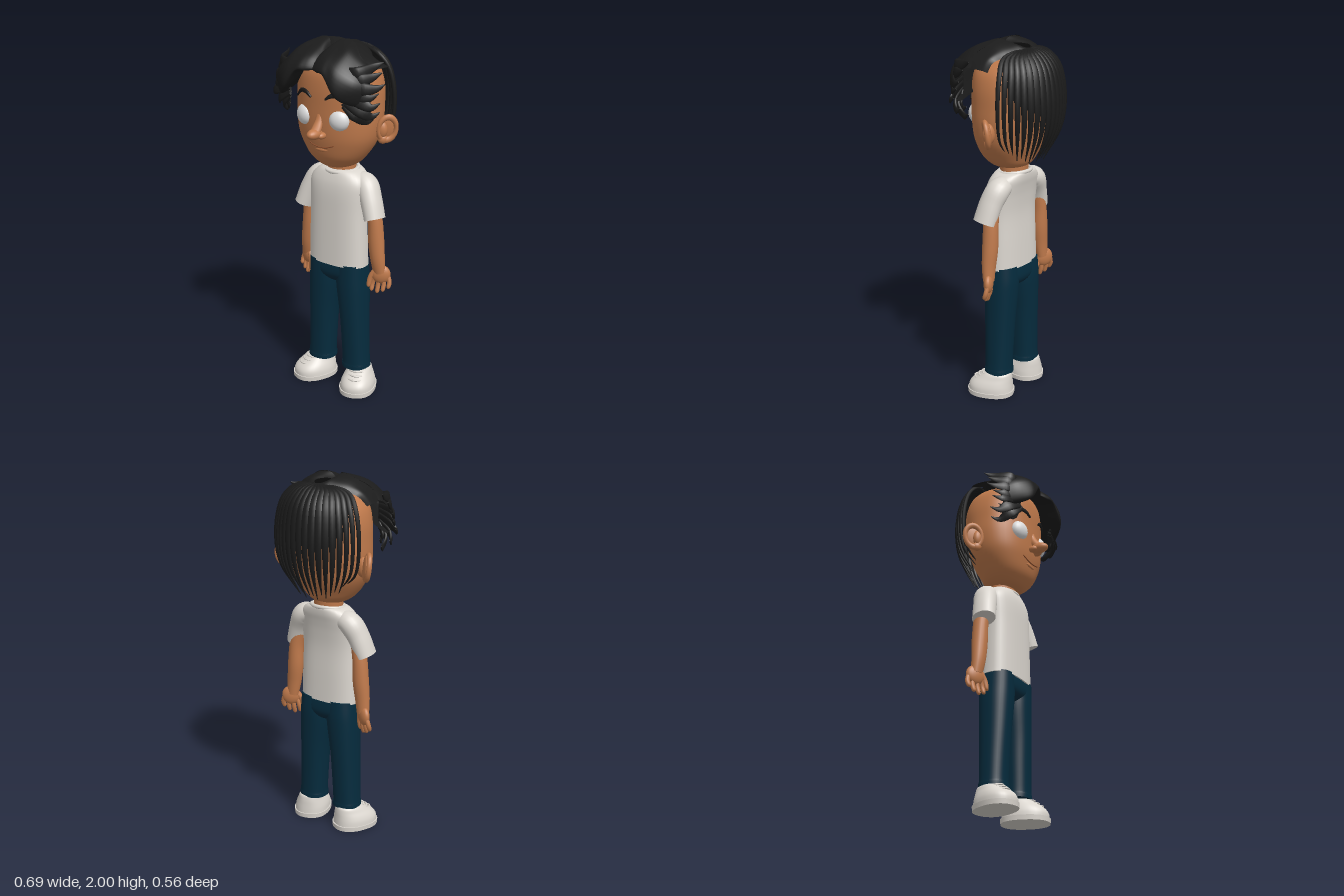
import * as THREE from 'three';

const mat = (name, color, side = THREE.FrontSide) => {
  const m = new THREE.MeshStandardMaterial({ color, side });
  m.name = name;
  return m;
};
const SKIN = mat('skin', 0xc07a4c);
const HAIR = mat('black hair', 0x1b1b1b, THREE.DoubleSide);
const CLOTH = mat('white cloth', 0xdad5ce, THREE.DoubleSide);
const DENIM = mat('blue denim', 0x052b3d);
const EYE = mat('eye white', 0xdedede);
const LIP = mat('lip brown', 0x8a4d2c);
const V = (x, y, z) => new THREE.Vector3(x, y, z);

// Catmull-Rom through rows of plain numbers, k steps per span
function smooth(rows, k) {
  const out = [], at = i => rows[Math.max(0, Math.min(rows.length - 1, i))];
  for (let i = 0; i < rows.length - 1; i++) {
    for (let s = 0; s < k; s++) {
      const t = s / k, p = [-1, 0, 1, 2].map(d => at(i + d));
      out.push(rows[i].map((_, c) => {
        const [a, b, d, e] = p.map(r => r[c]);
        return 0.5 * (2 * b + (d - a) * t + (2 * a - 5 * b + 4 * d - e) * t * t + (3 * b - a - 3 * d + e) * t ** 3);
      }));
    }
  }
  out.push(rows.at(-1));
  return out;
}

// Skin over a list of point rings; closed rings also get end caps
function skin(rings, closed = true) {
  const n = rings[0].length, pos = rings.flat().flatMap(p => [p.x, p.y, p.z]), idx = [];
  for (let r = 0; r < rings.length - 1; r++) {
    for (let i = 0; i < (closed ? n : n - 1); i++) {
      const a = r * n + i, b = r * n + (i + 1) % n;
      idx.push(a, a + n, b, b, a + n, b + n);
    }
  }
  if (closed) for (const [ring, top] of [[rings[0], false], [rings.at(-1), true]]) {
    const c = pos.length / 3, mid = ring.reduce((s, p) => s.add(p), V(0, 0, 0)).divideScalar(n);
    for (const p of [mid, ...ring]) pos.push(p.x, p.y, p.z);
    for (let i = 0; i < n; i++) {
      const a = c + 1 + i, b = c + 1 + (i + 1) % n;
      idx.push(c, top ? b : a, top ? a : b);
    }
  }
  const g = new THREE.BufferGeometry();
  g.setAttribute('position', new THREE.Float32BufferAttribute(pos, 3));
  g.setIndex(idx);
  g.computeVertexNormals();
  return g;
}

// Horizontal superellipse rings from rows [y, centreX, halfWidth, zFront, zBack]
const stack = (rows, e = 2, k = 4, n = 36) => skin(smooth(rows, k).map(([y, cx, rx, zf, zb]) =>
  Array.from({ length: n }, (_, i) => {
    const t = i / n * Math.PI * 2, f = v => Math.sign(v) * Math.abs(v) ** (2 / e);
    return V(cx + rx * f(Math.cos(t)), y, (zf + zb) / 2 + (zf - zb) / 2 * f(Math.sin(t)));
  })));

// Elliptical sweep along rows [x, y, z, halfWidth, halfThickness]; ref is the thickness direction
function sweep(rows, ref, k = 5, n = 10) {
  const pts = smooth(rows, k), P = pts.map(p => V(p[0], p[1], p[2]));
  return skin(pts.map((p, i) => {
    const T = P[Math.min(i + 1, P.length - 1)].clone().sub(P[Math.max(i - 1, 0)]).normalize();
    const side = T.clone().cross(ref).normalize(), up = side.clone().cross(T);
    return Array.from({ length: n }, (_, j) => {
      const t = j / n * Math.PI * 2;
      return P[i].clone().addScaledVector(side, Math.cos(t) * p[3]).addScaledVector(up, Math.sin(t) * p[4]);
    });
  }));
}

// Smooth sheet through a coarse net of points
function sheet(cols, k = 6) {
  const flat = smooth(cols.map(c => smooth(c, k).flat()), k);
  return skin(flat.map(r => Array.from({ length: r.length / 3 }, (_, i) => V(r[3 * i], r[3 * i + 1], r[3 * i + 2]))), false);
}

const ball = (x, y, z, rx, ry, rz) => new THREE.SphereGeometry(1, 24, 16).scale(rx, ry, rz).translate(x, y, z);

function mirrored(geo) {
  const g = geo.clone().scale(-1, 1, 1), a = g.index.array;
  for (let i = 0; i < a.length; i += 3) [a[i], a[i + 1]] = [a[i + 1], a[i]];
  return g;
}

// Head rows, also used to lay features on the face
const HEAD = [[1.305, 0, 0.03, 0.05, -0.03], [1.315, 0, 0.085, 0.09, -0.08], [1.34, 0, 0.128, 0.12, -0.11],
  [1.38, 0, 0.166, 0.148, -0.13], [1.44, 0, 0.206, 0.166, -0.16], [1.5, 0, 0.23, 0.178, -0.18],
  [1.58, 0, 0.242, 0.184, -0.2], [1.66, 0, 0.242, 0.186, -0.21], [1.75, 0, 0.238, 0.188, -0.215],
  [1.83, 0, 0.218, 0.18, -0.2], [1.88, 0, 0.178, 0.152, -0.175], [1.915, 0, 0.125, 0.11, -0.145],
  [1.933, 0, 0.065, 0.06, -0.1], [1.937, 0, 0.01, 0, -0.03]];
const E = 2.15;
function faceZ(x, y) {
  const i = HEAD.findIndex(r => r[0] > y), a = HEAD[i - 1], b = HEAD[i], t = (y - a[0]) / (b[0] - a[0]);
  const [rx, f, k] = [2, 3, 4].map(c => a[c] + (b[c] - a[c]) * t);
  return (f + k) / 2 + (f - k) / 2 * (1 - Math.abs(x / rx) ** E) ** (1 / E);
}

export function createModel() {
  const root = new THREE.Group();
  const add = (name, geo, m) => {
    const mesh = new THREE.Mesh(geo, m);
    mesh.name = name;
    root.add(mesh);
  };
  const pair = (name, geo, m) => {
    add(name + 'Left', geo, m);
    add(name + 'Right', mirrored(geo), m);
  };
  const front = V(0, 0, 1);

  // Head, neck and face
  add('head', stack(HEAD, E, 4, 48), SKIN);
  add('neck', stack([[1.22, 0, 0.08, 0.05, -0.085], [1.36, 0, 0.085, 0.06, -0.095]]), SKIN);
  add('noseBridge', sweep([[0, 1.64, 0.168, 0.016, 0.012], [0, 1.59, 0.18, 0.022, 0.018], [0, 1.555, 0.196, 0.028, 0.024],
    [0, 1.53, 0.216, 0.029, 0.026]], front), SKIN);
  add('noseTip', ball(0, 1.524, 0.218, 0.033, 0.029, 0.055), SKIN);
  pair('nostril', ball(0.027, 1.513, 0.19, 0.019, 0.018, 0.03), SKIN);
  pair('eye', ball(0, 0, 0, 0.056, 0.056, 0.04).rotateY(0.3).translate(0.111, 1.6, 0.152), EYE);
  pair('eyebrow', sweep([[0.046, 1.708, 0.005], [0.08, 1.73, 0.012], [0.125, 1.73, 0.011], [0.175, 1.688, 0.003]]
    .map(([x, y, w]) => [x, y, faceZ(x, y) + 0.003, w, 0.007]), front), HAIR);
  add('mouth', sweep([-0.08, -0.04, 0, 0.04, 0.08].map(x => {
    const y = 1.44 + 2.8 * x * x;
    return [x, y, faceZ(x, y), 0.003, 0.004];
  }), front), LIP);
  add('lowerLip', ball(0, 1.425, 0.156, 0.045, 0.012, 0.01), SKIN);

  // Ears: rim, bowl and lobe, turned to the front and leaning out at the top
  const ear = g => g.rotateY(0.8).rotateZ(-0.15).translate(0.276, 1.54, -0.045);
  pair('earRim', ear(new THREE.TorusGeometry(0.047, 0.013, 10, 28).scale(1, 1.35, 1.1)), SKIN);
  pair('earBowl', ear(ball(0, 0, -0.012, 0.05, 0.066, 0.014)), SKIN);
  pair('earLobe', ear(ball(-0.015, -0.062, 0, 0.026, 0.024, 0.016)), SKIN);
  pair('earBase', ball(0.24, 1.535, -0.035, 0.04, 0.055, 0.03), SKIN);

  // Parted crown hair and swept fringe
  pair('crownHair', sheet([
    [[0.002, 1.945, 0.075], [0.022, 1.968, 0.0], [0.036, 1.968, -0.08], [0.004, 1.952, -0.13]],
    [[0.028, 1.988, 0.05], [0.045, 1.986, -0.01], [0.055, 1.976, -0.08], [0.03, 1.95, -0.133]],
    [[0.065, 1.998, 0.035], [0.075, 1.988, -0.02], [0.08, 1.968, -0.08], [0.065, 1.94, -0.13]],
    [[0.13, 1.978, 0.04], [0.14, 1.966, -0.01], [0.145, 1.95, -0.05], [0.14, 1.925, -0.085]],
    [[0.2, 1.925, 0.09], [0.205, 1.922, 0.03], [0.21, 1.915, -0.01], [0.2, 1.9, -0.035]],
    [[0.27, 1.87, 0.055], [0.28, 1.872, 0.02], [0.285, 1.87, -0.03], [0.28, 1.862, -0.06]]]), HAIR);
  pair('fringe', sheet([
    [[0, 1.94, 0.07], [0, 1.945, 0.14], [0, 1.912, 0.2], [0, 1.865, 0.232], [0, 1.87, 0.15]],
    [[0.028, 1.99, 0.048], [0.032, 1.975, 0.11], [0.036, 1.92, 0.215], [0.04, 1.86, 0.25], [0.04, 1.87, 0.15]],
    [[0.07, 2.0, 0.03], [0.08, 1.98, 0.1], [0.085, 1.92, 0.222], [0.09, 1.852, 0.265], [0.085, 1.87, 0.15]],
    [[0.13, 1.98, 0.036], [0.15, 1.955, 0.14], [0.155, 1.87, 0.252], [0.16, 1.755, 0.268], [0.14, 1.8, 0.15]],
    [[0.2, 1.93, 0.086], [0.22, 1.9, 0.14], [0.24, 1.82, 0.218], [0.22, 1.71, 0.215], [0.19, 1.75, 0.11]],
    [[0.26, 1.875, 0.06], [0.277, 1.855, 0.1], [0.29, 1.78, 0.15], [0.272, 1.69, 0.14], [0.225, 1.74, 0.08]]]), HAIR);
  // Pointed locks that carry the fringe on to the sides
  for (const [x, y, z] of [[0.305, 1.91, 0.04], [0.318, 1.865, 0.07], [0.342, 1.81, 0.08], [0.325, 1.765, 0.11],
    [0.338, 1.72, 0.115], [0.32, 1.665, 0.09], [0.28, 1.63, 0.07], [0.235, 1.655, 0.12]]) {
    const ry = 1.79 + (y - 1.78) * 0.55;
    pair('sideLock', sweep([[0.18, ry, 0.19, 0.03, 0.008], [0.18 + (x - 0.18) * 0.55, (ry + y) / 2 - 0.015, 0.175, 0.034, 0.009],
      [x - 0.025, y - 0.018, z + 0.045, 0.02, 0.007], [x, y, z, 0.002, 0.002]], V(0.7, 0.1, 0.7), 5, 8), HAIR);
  }
  // Long strands fanned around the back of the head, slimmer and shorter at the sides
  const count = 19;
  for (let i = 0; i < count; i++) {
    const a = (i / (count - 1) - 0.5) * 2.42, sx = Math.sin(a), cz = -Math.cos(a), dy = 0.012 * Math.sin(i * 2.4);
    const slim = 1 - 0.55 * Math.abs(sx) ** 3;
    const at = (f, y, w, t) => [sx * 0.29 * f, y, -0.03 + cz * 0.24 * f, w * slim, t];
    add('backStrand', sweep([[sx * 0.03, 1.95, -0.1 + cz * 0.02, 0.012, 0.01], at(0.64, 1.925, 0.022, 0.011),
      at(0.9, 1.84, 0.024, 0.011), at(1, 1.68, 0.02, 0.01), at(0.92, 1.52, 0.013, 0.008),
      at(0.62, 1.37 + dy + 0.09 * sx ** 4, 0.002, 0.002)], V(sx, 0.45, cz), 5, 8), HAIR);
  }

  // Shirt with collar and short sleeves
  add('shirt', stack([[0.75, 0, 0.18, 0.102, -0.09], [0.9, 0, 0.176, 0.1, -0.086], [1.05, 0, 0.172, 0.098, -0.082],
    [1.15, 0, 0.175, 0.096, -0.09], [1.21, 0, 0.176, 0.09, -0.1], [1.25, 0, 0.16, 0.08, -0.109],
    [1.28, 0, 0.125, 0.068, -0.112], [1.292, 0, 0.095, 0.055, -0.11]], 2.5), CLOTH);
  add('collar', new THREE.TorusGeometry(0.094, 0.011, 10, 40).rotateX(Math.PI / 2).scale(1, 1, 0.92).rotateX(0.1)
    .translate(0, 1.285, -0.02), CLOTH);
  pair('sleeve', sweep([[0.09, 1.225, -0.03, 0.05, 0.05], [0.155, 1.212, -0.03, 0.062, 0.066],
    [0.2, 1.14, -0.012, 0.057, 0.066], [0.237, 1.04, 0.004, 0.053, 0.066]], front, 6, 24), CLOTH);

  // Arms and hands
  pair('arm', sweep([[0.2, 1.12, -0.02, 0.04, 0.042], [0.219, 1.02, -0.026, 0.04, 0.042], [0.227, 0.9, -0.027, 0.045, 0.042],
    [0.238, 0.8, -0.026, 0.042, 0.036], [0.247, 0.72, -0.032, 0.036, 0.028]], front, 6, 20), SKIN);
  pair('palm', ball(0, 0, 0, 0.053, 0.055, 0.026).rotateY(0.5).translate(0.255, 0.71, -0.036), SKIN);
  for (let f = 0; f < 4; f++) {
    const o = (f - 1.5) * 0.024, x = 0.257 + o * 0.85, z = -0.037 - o * 0.5, len = [0.08, 0.09, 0.08, 0.06][f];
    pair('finger', sweep([[x, 0.705, z, 0.013, 0.013], [x + o * 0.35, 0.7 - len * 0.55, z + 0.002, 0.013, 0.013],
      [x + o * 0.35, 0.7 - len, z + 0.012, 0.011, 0.011], [x + o * 0.35, 0.69 - len, z + 0.014, 0.003, 0.003]], front, 4, 10), SKIN);
  }
  pair('thumb', sweep([[0.23, 0.735, -0.022, 0.016, 0.016], [0.207, 0.695, -0.008, 0.015, 0.015],
    [0.2, 0.645, 0.002, 0.012, 0.012], [0.2, 0.633, 0.004, 0.003, 0.003]], front), SKIN);

  // Trousers
  add('trouserSeat', stack([[0.625, 0, 0.02, 0.02, -0.03], [0.645, 0, 0.07, 0.06, -0.07], [0.68, 0, 0.15, 0.09, -0.092],
    [0.73, 0, 0.174, 0.095, -0.092], [0.8, 0, 0.165, 0.085, -0.08]], 2.6), DENIM);
  pair('trouserLeg', stack([[0.125, 0.118, 0.079, 0.076, -0.076], [0.15, 0.118, 0.078, 0.076, -0.076],
    [0.16, 0.118, 0.075, 0.073, -0.073], [0.3, 0.112, 0.076, 0.077, -0.077], [0.45, 0.105, 0.079, 0.084, -0.084],
    [0.6, 0.094, 0.087, 0.091, -0.092], [0.68, 0.09, 0.088, 0.093, -0.094], [0.76, 0.088, 0.086, 0.094, -0.088]], 2.3), DENIM);

  // Shoes, turned out
  const shoe = g => g.rotateY(0.36).translate(0.151, 0, 0.028);
  pair('shoeSole', shoe(stack([[0, 0, 0.1, 0.134, -0.128], [0.026, 0, 0.102, 0.136, -0.13]], 2.3)), CLOTH);
  pair('shoeUpper', shoe(stack([[0.02, 0, 0.097, 0.13, -0.124], [0.05, 0, 0.094, 0.128, -0.122],
    [0.075, 0, 0.086, 0.112, -0.12], [0.1, 0, 0.074, 0.078, -0.118], [0.122, 0, 0.064, 0.045, -0.114],
    [0.13, 0, 0.054, 0.03, -0.108]], 2.3)), CLOTH);
  for (let i = 0; i < 3; i++) {
    const y = 0.088 + i * 0.016, z = 0.094 - i * 0.022;
    pair('shoeLace', shoe(sweep([[-0.038, y, z - 0.016, 0.005, 0.005], [0, y + 0.004, z + 0.004, 0.005, 0.005],
      [0.038, y, z - 0.016, 0.005, 0.005]], V(0, 1, 0), 4, 8)), CLOTH);
  }
  return root;
}
